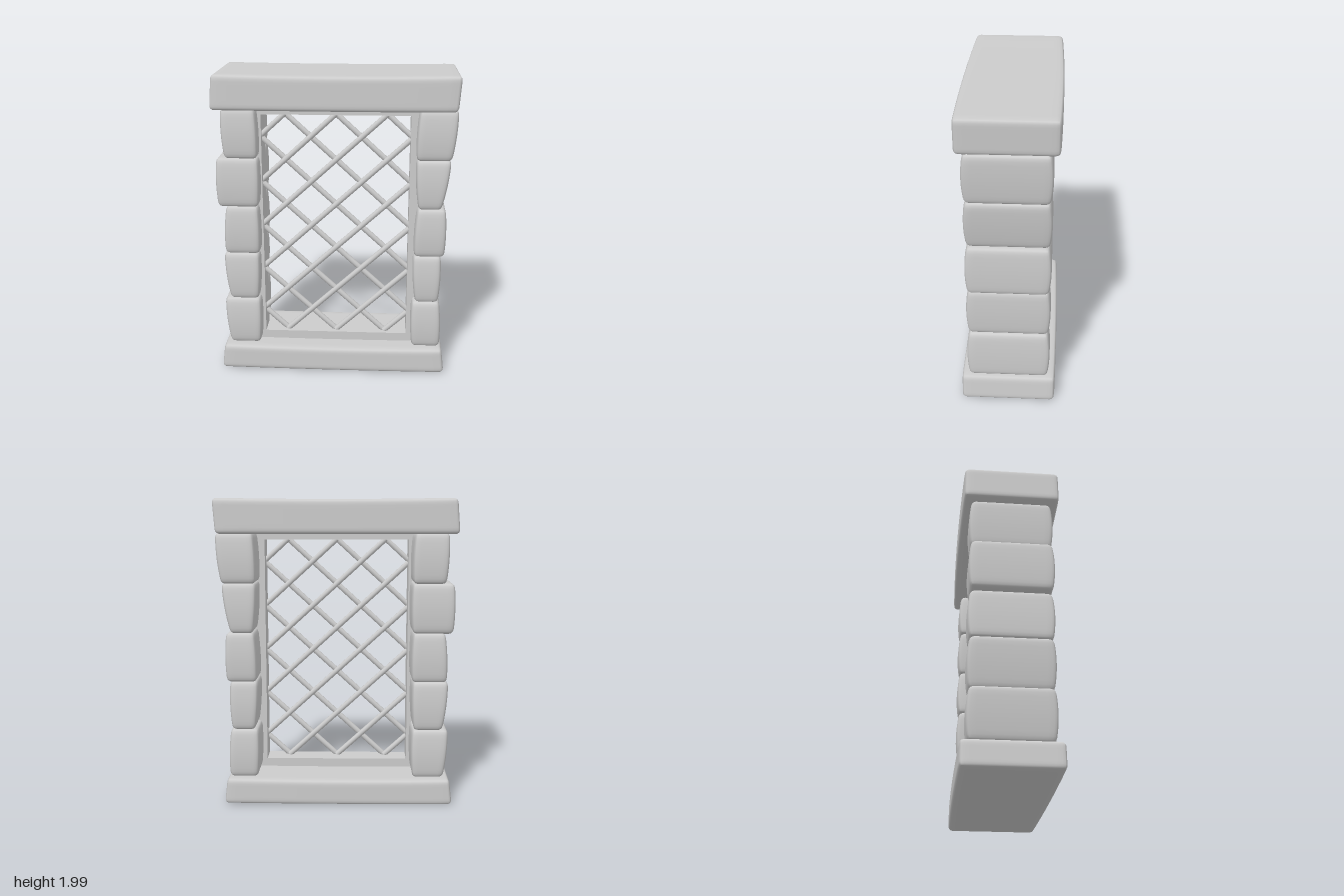
import * as THREE from 'three';
import { mergeVertices } from 'three/addons/utils/BufferGeometryUtils.js';

const material = new THREE.MeshStandardMaterial({ color: 0xcccccc });
const mix = THREE.MathUtils.lerp;

// Hewn stone: a rounded block whose ends slant from bottom to top and whose faces swell.
// left / right are [bottom x, top x]; sag dips the middle of the top and bottom.
function stone(name, left, right, y0, y1, depth, { radius = 0.03, bulge = 0.015, sag = 0, axis = 'y' } = {}) {
  let geo = new THREE.BoxGeometry(2, 2, 2, 14, 14, 14);
  geo.deleteAttribute('uv');
  geo.deleteAttribute('normal');
  geo = mergeVertices(geo);
  const half = new THREE.Vector3((right[0] + right[1] - left[0] - left[1]) / 4, (y1 - y0) / 2, depth);
  const inner = half.clone().subScalar(radius);
  const p = new THREE.Vector3(), core = new THREE.Vector3();
  const pos = geo.attributes.position;
  for (let i = 0; i < pos.count; i++) {
    p.fromBufferAttribute(pos, i);
    // crowd the grid toward the edges, then round them
    p.set(...p.toArray().map((t) => Math.sin((t * Math.PI) / 2))).multiply(half);
    core.copy(p).clamp(inner.clone().negate(), inner);
    p.sub(core);
    if (p.lengthSq() > 0) p.setLength(radius);
    p.add(core).divide(half);
    const u = p.x, v = p.y, w = p.z;
    const t = (v + 1) / 2;
    const swell = 1 - (axis === 'y' ? v * v : u * u);
    const x = mix(mix(left[0], left[1], t), mix(right[0], right[1], t), (u + 1) / 2);
    const y = mix(y0, y1, t) - sag * (1 - u * u) * t;
    pos.setXYZ(i, x + (axis === 'y' ? u * swell * 0.008 : 0), y, w * (depth + bulge * swell));
  }
  geo.computeVertexNormals();
  const mesh = new THREE.Mesh(geo, material);
  mesh.name = name;
  return mesh;
}

function beam(name, w, h, d, x, y, z) {
  const mesh = new THREE.Mesh(new THREE.BoxGeometry(w, h, d), material);
  mesh.name = name;
  mesh.position.set(x, y, z);
  return mesh;
}

// Round bar between two points
function bar(a, b) {
  const dir = b.clone().sub(a);
  const mesh = new THREE.Mesh(new THREE.CylinderGeometry(0.018, 0.018, dir.length(), 10), material);
  mesh.name = 'latticeBar';
  mesh.position.copy(a).add(b).multiplyScalar(0.5);
  mesh.quaternion.setFromUnitVectors(new THREE.Vector3(0, 1, 0), dir.normalize());
  return mesh;
}

export function createModel() {
  const model = new THREE.Group();
  model.name = 'stoneWindow';

  // Sill and lintel
  model.add(
    stone('sill', [-0.765, -0.745], [0.735, 0.715], 0.005, 0.178, 0.3, { axis: 'x', sag: 0.006, bulge: 0.008 }),
    stone('lintel', [-0.78, -0.762], [0.76, 0.777], 1.775, 2, 0.3, { axis: 'x', sag: 0.008, bulge: 0.013 }),
  );

  // Side columns, bottom to top: [x at bottom, x at top] of the outer and inner ends
  const rightColumn = [
    [[-0.705, -0.735], [-0.505, -0.5]],
    [[-0.695, -0.73], [-0.51, -0.5]],
    [[-0.72, -0.705], [-0.495, -0.5]],
    [[-0.755, -0.758], [-0.495, -0.492]],
    [[-0.705, -0.72], [-0.495, -0.505]],
  ];
  const leftColumn = [
    [[0.515, 0.51], [0.7, 0.69]],
    [[0.53, 0.51], [0.68, 0.69]],
    [[0.515, 0.53], [0.71, 0.71]],
    [[0.535, 0.515], [0.68, 0.735]],
    [[0.515, 0.53], [0.735, 0.768]],
  ];
  for (const [name, column] of [['rightStone', rightColumn], ['leftStone', leftColumn]]) {
    column.forEach(([a, b], i) => {
      const y = 0.18 + i * 0.32;
      model.add(stone(name, a, b, y - 0.003, y + 0.323, 0.25));
    });
  }

  // Inner frame
  const frame = new THREE.Group();
  frame.name = 'innerFrame';
  for (const side of [-1, 1]) frame.add(beam('frameJamb', 0.08, 1.62, 0.16, side * 0.517, 0.98, 0.08));
  frame.add(beam('frameBottom', 1.08, 0.07, 0.16, 0, 0.195, 0.08));
  frame.add(beam('frameTop', 1.08, 0.07, 0.16, 0, 1.765, 0.08));
  model.add(frame);

  // Diagonal lattice, each bar clipped to the opening
  const lattice = new THREE.Group();
  lattice.name = 'lattice';
  const bottom = 0.23, top = 1.73, side = 0.482, rise = 0.3, slope = rise / 0.328;
  for (const dir of [-1, 1]) {
    for (let k = -1; k <= 6; k++) {
      const y = bottom + k * rise;
      const x0 = Math.max(-side, (bottom - y) / slope);
      const x1 = Math.min(side, (top - y) / slope);
      if (x1 - x0 < 0.05) continue;
      const z = 0.11 + dir * 0.006;
      lattice.add(bar(new THREE.Vector3(dir * x0, y + slope * x0, z), new THREE.Vector3(dir * x1, y + slope * x1, z)));
    }
  }
  model.add(lattice);
  return model;
}
